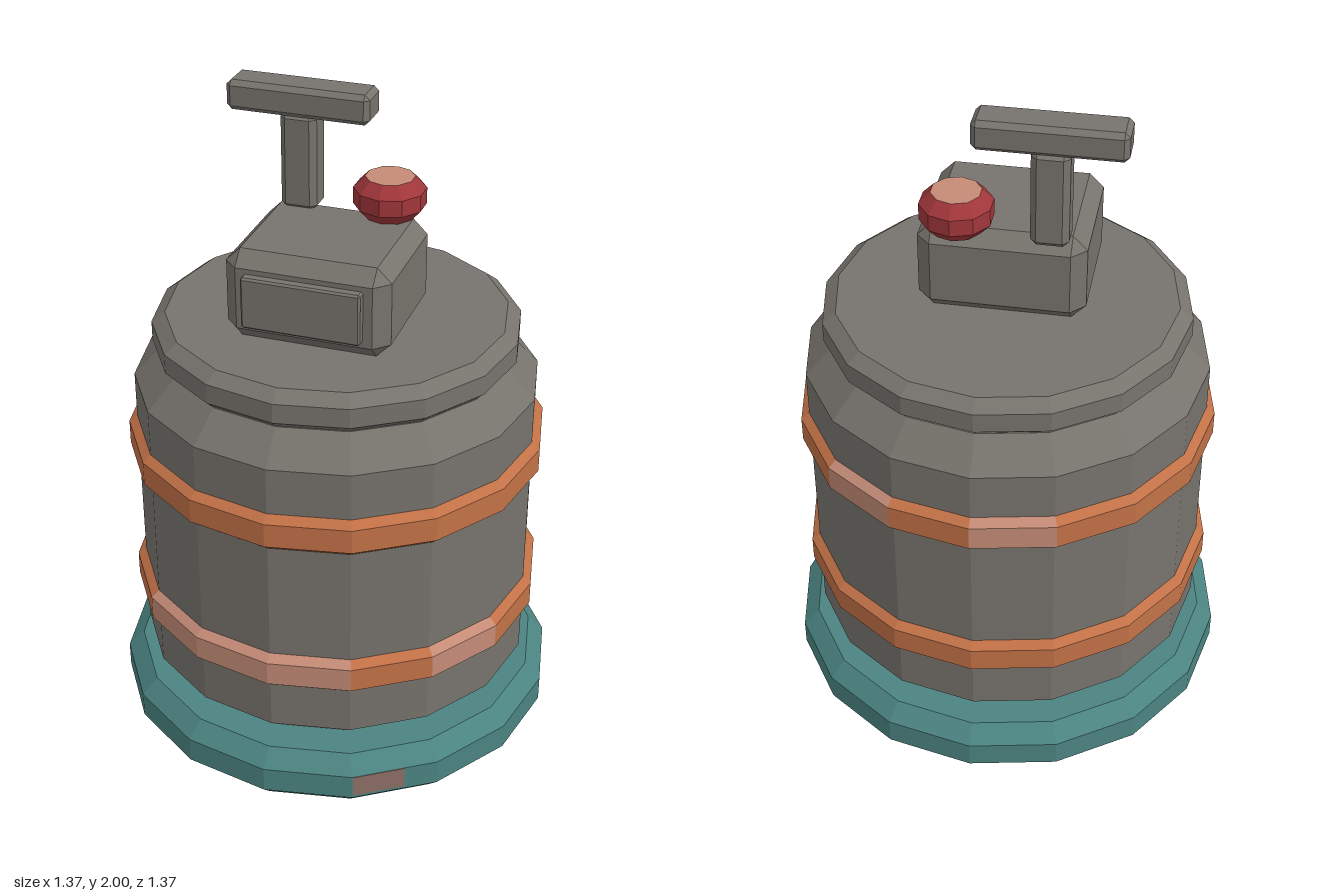
import * as THREE from 'three';
import { ConvexGeometry } from 'three/addons/geometries/ConvexGeometry.js';

function paint(name, color) {
  const m = new THREE.MeshStandardMaterial({ color });
  m.name = name;
  return m;
}

// Faceted turned shape from [radius, height] pairs, listed bottom to top
function turned(profile, sides) {
  const points = profile.map(([r, y]) => new THREE.Vector2(r, y));
  const geo = new THREE.LatheGeometry(points, sides).toNonIndexed();
  geo.computeVertexNormals();
  return geo;
}

// Box given by its limits, with every edge chamfered by b
function chamferBox(x0, x1, y0, y1, z0, z1, b) {
  const half = [(x1 - x0) / 2, (y1 - y0) / 2, (z1 - z0) / 2];
  const points = [];
  for (const sx of [-1, 1]) for (const sy of [-1, 1]) for (const sz of [-1, 1]) {
    for (let axis = 0; axis < 3; axis++) {
      const p = half.map((h, i) => (i === axis ? h : h - b));
      points.push(new THREE.Vector3(sx * p[0], sy * p[1], sz * p[2]));
    }
  }
  return new ConvexGeometry(points).translate((x0 + x1) / 2, (y0 + y1) / 2, (z0 + z1) / 2);
}

export function createModel() {
  const grey = paint('grey metal', 0x77736d);
  const teal = paint('teal rubber', 0x4b8481);
  const orange = paint('orange band', 0xc27147);
  const pale = paint('worn orange', 0xc48b76);
  const red = paint('red knob', 0xa0363a);
  const worn = paint('worn patch', 0x8c6f67);

  const model = new THREE.Group();
  model.name = 'canister';
  const add = (name, geo, material) => {
    const mesh = new THREE.Mesh(geo, material);
    mesh.name = name;
    model.add(mesh);
    return mesh;
  };

  // Base ring, drum and lid
  const SIDES = 16;
  add('base', turned([[0, 0], [0.635, 0], [0.685, 0.05], [0.685, 0.13], [0.635, 0.18], [0, 0.18]], SIDES), teal);
  add('drum', turned([[0.52, 0.17], [0.53, 0.18], [0.61, 0.25], [0.61, 1.15], [0.525, 1.24], [0, 1.24]], SIDES), grey);
  add('lid', turned([[0, 1.235], [0.515, 1.235], [0.55, 1.265], [0.55, 1.325], [0.51, 1.355], [0, 1.355]], SIDES), grey);

  // Bands, with some worn facets
  const bands = [
    ['lowerBand', 0.395, [0, 2, 14, 15]],
    ['upperBand', 0.885, [6, 8]],
  ];
  for (const [name, y, wornFacets] of bands) {
    const profile = [[0.605, y], [0.635, y + 0.025], [0.635, y + 0.1], [0.605, y + 0.125]];
    const geo = turned(profile, SIDES);
    const count = 6 * (profile.length - 1);
    geo.clearGroups();
    for (let i = 0; i < SIDES; i++) geo.addGroup(i * count, count, wornFacets.includes(i) ? 1 : 0);
    add(name, geo, [orange, pale]);
  }

  // Scuff on one facet of the base
  const facetAngle = (1.5 * Math.PI * 2) / SIDES;
  const scuff = new THREE.BoxGeometry(0.16, 0.07, 0.004);
  scuff.translate(-0.05, 0.095, 0.685 * Math.cos(Math.PI / SIDES));
  scuff.rotateY(facetAngle);
  add('baseScuff', scuff, worn);

  // Valve housing with front plate
  add('housing', chamferBox(-0.245, 0.245, 1.355, 1.63, -0.135, 0.295, 0.043), grey);
  add('frontPlate', chamferBox(-0.178, 0.175, 1.415, 1.572, 0.27, 0.324, 0.006), grey);

  // T-shaped handle
  add('handlePost', chamferBox(-0.197, -0.087, 1.62, 1.92, -0.153, -0.055, 0.018), grey);
  add('handleBar', chamferBox(-0.355, 0.077, 1.91, 2, -0.157, -0.043, 0.015), grey);

  // Knob with a worn top face
  const knob = add('knob', turned([[0, 0], [0.075, 0], [0.107, 0.035], [0.107, 0.085], [0.073, 0.12]], 10), red);
  const knobTop = add('knobTop', turned([[0.073, 0.12], [0, 0.12]], 10), pale);
  for (const part of [knob, knobTop]) part.position.set(0.127, 1.63, -0.1);

  return model;
}
